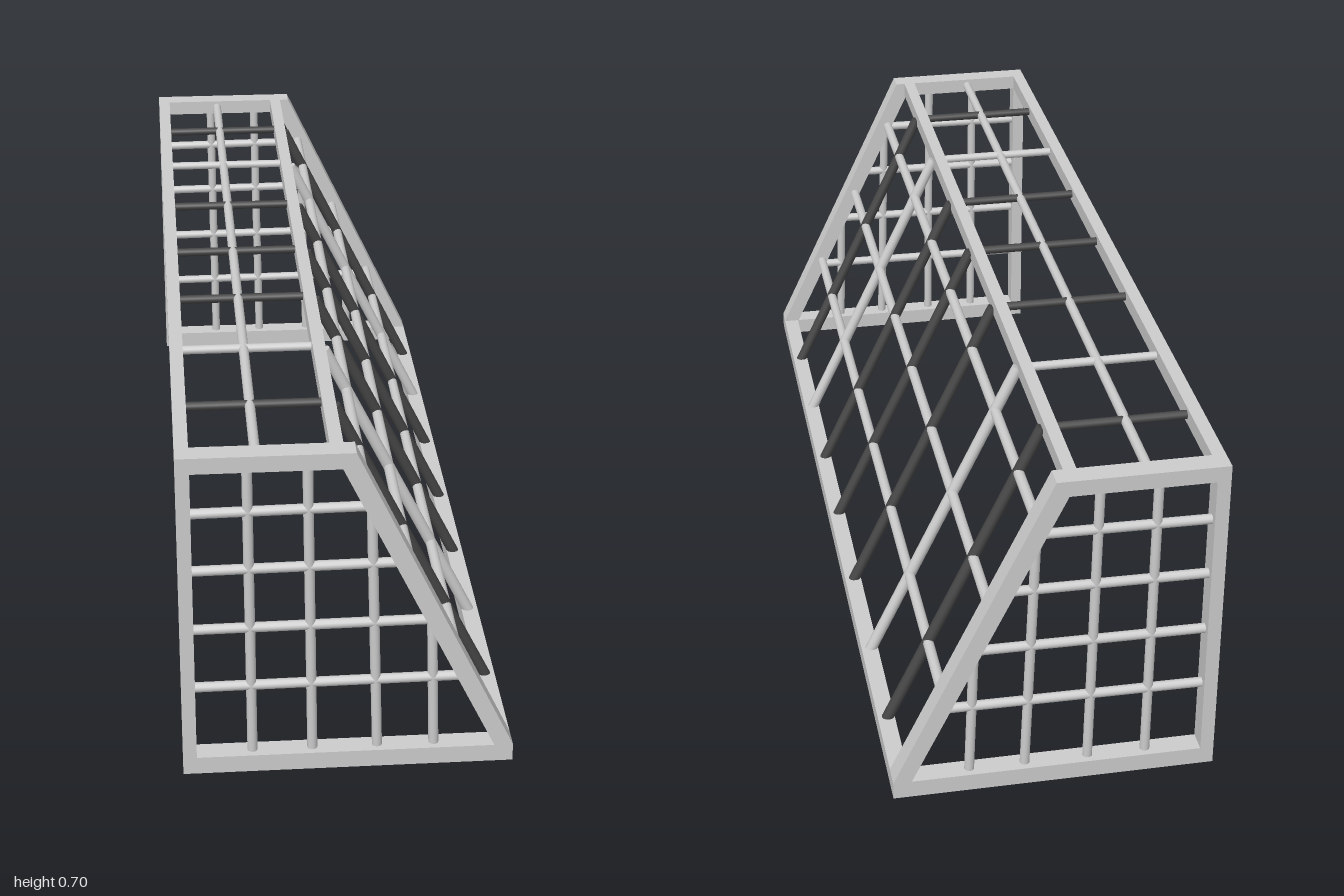
import * as THREE from 'three';

const light = new THREE.MeshStandardMaterial({ color: 0xcccccc });
const dark = new THREE.MeshStandardMaterial({ color: 0x444444 });

export function createModel() {
  const goal = new THREE.Group();
  goal.name = 'goal';

  const add = (geometry, name, material = light) => {
    const mesh = new THREE.Mesh(geometry, material);
    mesh.name = name;
    goal.add(mesh);
    return mesh;
  };

  // Round bar running between two points
  const rod = (a, b, radius, name, material) => {
    const from = new THREE.Vector3(...a);
    const to = new THREE.Vector3(...b);
    const dir = to.clone().sub(from);
    const mesh = add(new THREE.CylinderGeometry(radius, radius, dir.length(), 12), name, material);
    mesh.position.copy(from).add(to).multiplyScalar(0.5);
    mesh.quaternion.setFromUnitVectors(new THREE.Vector3(0, 1, 0), dir.normalize());
  };

  // Square beam along z, given its x and y limits
  const beam = (x0, x1, y0, y1, name) => {
    add(new THREE.BoxGeometry(x1 - x0, y1 - y0, 1.92), name)
      .position.set((x0 + x1) / 2, (y0 + y1) / 2, 0);
  };

  // Centre line of the sloping back net
  const slopeX = (y) => -0.012 + (0.68 - y) * 0.49;

  // End frames: a trapezoid with an open middle
  const points = (list) => list.map(([x, y]) => new THREE.Vector2(x, y));
  const outline = new THREE.Shape(points([
    [-0.325, 0], [0.325, 0], [0.325, 0.037], [0.01, 0.7], [-0.325, 0.7],
  ]));
  outline.holes.push(new THREE.Path(points([
    [-0.298, 0.037], [-0.298, 0.667], [-0.015, 0.667], [0.288, 0.037],
  ])));
  const frame = new THREE.ExtrudeGeometry(outline, { depth: 0.045, bevelEnabled: false });

  for (const side of [1, -1]) {
    add(frame, 'endFrame').position.z = side > 0 ? 0.955 : -1;
    const z = side * 0.978;

    // End netting: uprights [x at bottom, x at top, top height]
    for (const [x0, x1, top] of [
      [-0.188, -0.192, 0.68], [-0.07, -0.079, 0.68], [0.058, 0.041, 0.59], [0.17, 0.16, 0.34],
    ]) rod([x0, 0.02, z], [x1, top, z], 0.01, 'endNetUpright');

    // End netting: horizontals
    for (const y of [0.187, 0.318, 0.448, 0.572]) {
      rod([-0.31, y, z], [slopeX(y) + 0.005, y + 0.004, z], 0.01, 'endNetHorizontal');
    }
  }

  // Long beams joining the two ends
  beam(-0.325, -0.298, 0.667, 0.7, 'crossbar');
  beam(-0.037, -0.011, 0.667, 0.7, 'backTopBeam');
  beam(0.29, 0.325, 0, 0.037, 'backBottomBeam');

  // Long net bars on the top and on the slope
  rod([-0.175, 0.684, -0.96], [-0.175, 0.684, 0.96], 0.01, 'topNetLongBar');
  for (const y of [0.21, 0.4, 0.585]) {
    rod([slopeX(y), y, -0.97], [slopeX(y), y, 0.97], 0.011, 'backNetLongBar');
  }

  // Cross bars over the top, each continuing down the slope with a slight lean
  [0.757, 0.505, 0.257, 0.002, -0.27, -0.535, -0.775].forEach((z, i) => {
    const material = i === 1 || i === 5 ? light : dark;
    rod([-0.305, 0.684, z], [-0.012, 0.684, z], 0.009, 'topNetCrossBar', material);
    rod([slopeX(0.68), 0.68, z + 0.009], [slopeX(0.03), 0.03, z - 0.012], 0.012, 'backNetCrossBar', material);
  });

  return goal;
}
